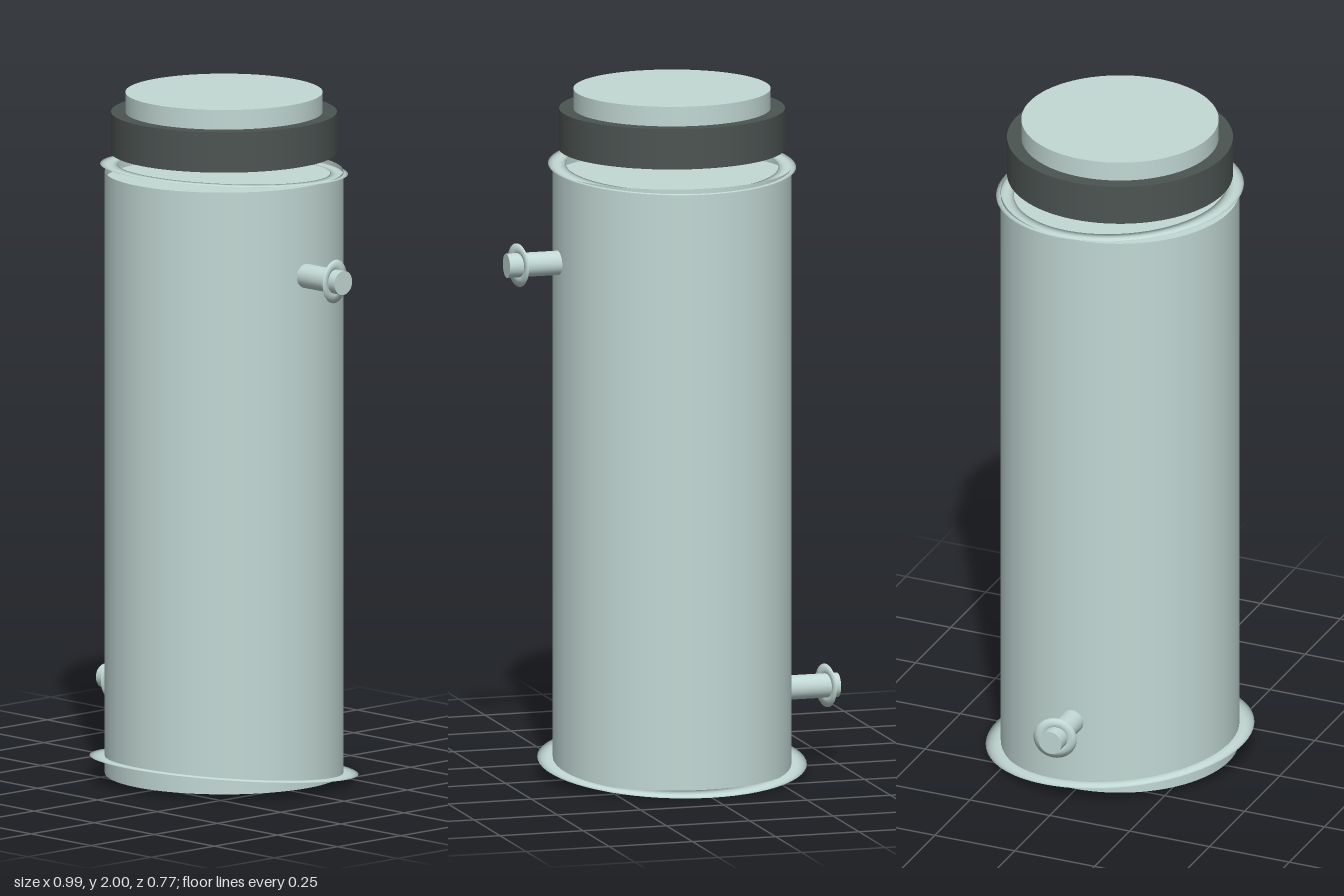
import * as THREE from 'three';

export function createModel() {
  const model = new THREE.Group();
  const steel = new THREE.MeshStandardMaterial({ color: 0xc2d8d4, side: THREE.DoubleSide });
  steel.name = 'pale steel';
  const dark = new THREE.MeshStandardMaterial({ color: 0x4c5452 });
  dark.name = 'dark band';
  const red = new THREE.MeshStandardMaterial({ color: 0xa92f27 });
  red.name = 'red base';

  const add = (name, geometry, material, x, y, parent = model) => {
    const mesh = new THREE.Mesh(geometry, material);
    mesh.name = name;
    mesh.position.set(x, y, 0);
    parent.add(mesh);
    return mesh;
  };

  // Upright cylinder between two heights
  const drum = (name, radius, y0, y1, material, open = false) =>
    add(name, new THREE.CylinderGeometry(radius, radius, y1 - y0, 96, 1, open), material, 0, (y0 + y1) / 2);

  // Torus pressed flat, keeping its rounded normals
  const flatRing = (inner, outer) => {
    const geometry = new THREE.TorusGeometry((inner + outer) / 2, (outer - inner) / 2, 16, 64);
    const p = geometry.attributes.position;
    for (let i = 0; i < p.count; i++) p.setZ(i, p.getZ(i) * 0.02);
    return geometry;
  };

  // Thin open shell with a plate recessed in each end
  drum('body', 0.342, 0.015, 1.77, steel, true);
  drum('topPlate', 0.341, 1.74, 1.745, steel);
  drum('basePlate', 0.341, 0.078, 0.083, red);

  // Lid
  drum('lidBand', 0.324, 1.825, 1.943, dark);
  drum('lidCap', 0.283, 1.84, 2.0, steel);

  // Slightly tilted rims, higher at the front
  add('bottomRim', flatRing(0.305, 0.387), steel, 0, 0.038).rotation.x = Math.PI / 2 - 0.1;
  add('topRim', flatRing(0.305, 0.356), steel, 0, 1.776).rotation.x = Math.PI / 2 - 0.06;

  // Side nozzles, each with a thin skewed flange
  for (const [name, side, y] of [['upperNozzle', 1, 1.51], ['lowerNozzle', -1, 0.23]]) {
    const nozzle = new THREE.Group();
    nozzle.name = name;
    nozzle.position.y = y;
    const pipe = new THREE.CylinderGeometry(0.035, 0.035, 0.17, 32);
    add('pipe', pipe, steel, side * 0.412, 0, nozzle).rotation.z = Math.PI / 2;
    add('flange', flatRing(0.022, 0.063), steel, side * 0.462, 0, nozzle).rotation.y = Math.PI / 2 + 0.22;
    model.add(nozzle);
  }
  return model;
}
